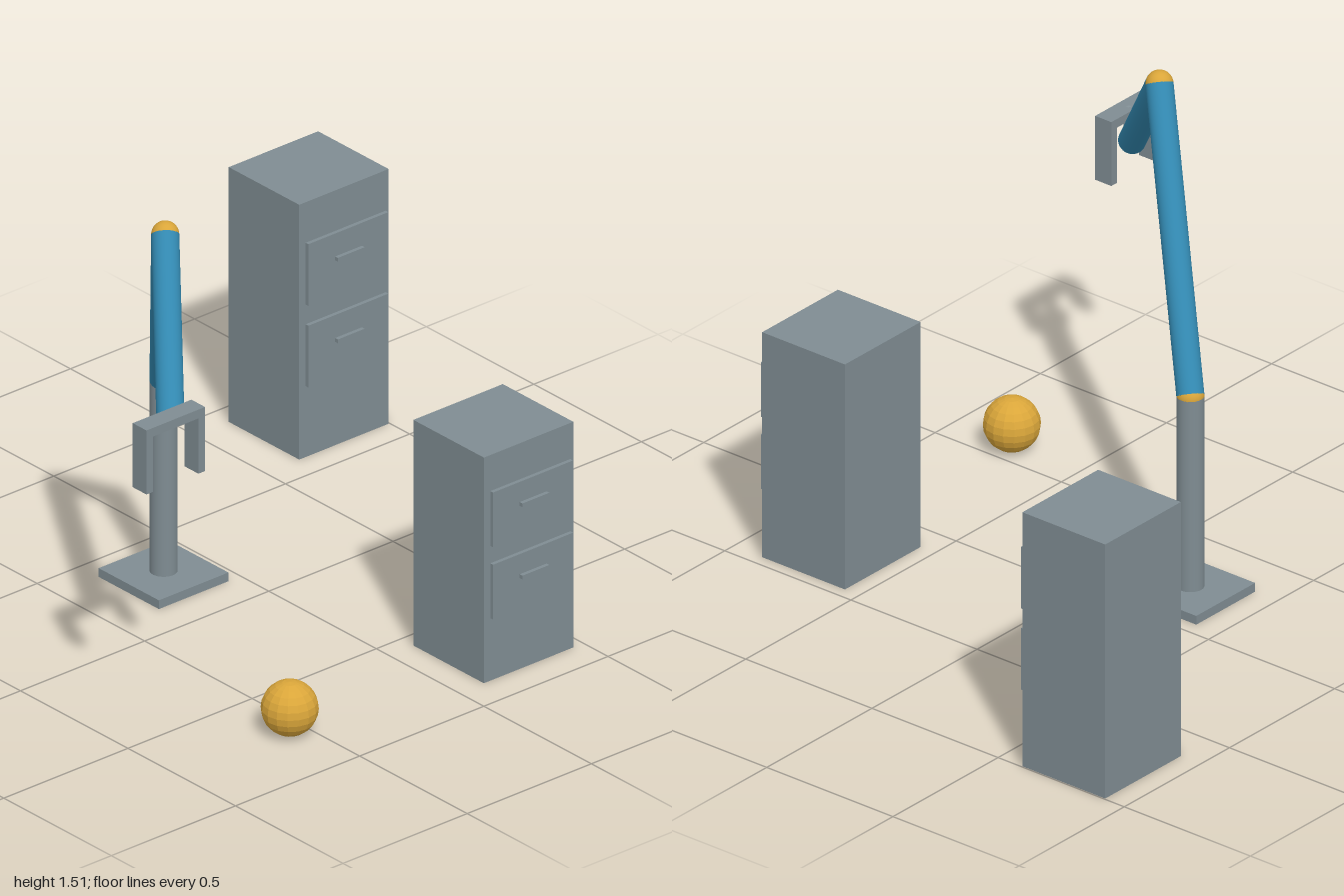
import * as THREE from 'three';

const steel = new THREE.MeshStandardMaterial({ name: 'steelGrey', color: 0x7f8c92 });
const blue = new THREE.MeshStandardMaterial({ name: 'armBlue', color: 0x3288b0 });
const gold = new THREE.MeshStandardMaterial({ name: 'gold', color: 0xdaa63a });
const ballGold = gold;

function add(parent, name, geometry, material, x = 0, y = 0, z = 0) {
  const mesh = new THREE.Mesh(geometry, material);
  mesh.name = name;
  mesh.position.set(x, y, z);
  parent.add(mesh);
  return mesh;
}

const box = (w, h, d) => new THREE.BoxGeometry(w, h, d);

// Cylinder running between two points
function rod(parent, name, a, b, radius, material) {
  const dir = b.clone().sub(a);
  const mesh = add(parent, name, new THREE.CylinderGeometry(radius, radius, dir.length(), 32), material);
  mesh.position.copy(a).add(b).multiplyScalar(0.5);
  mesh.quaternion.setFromUnitVectors(new THREE.Vector3(0, 1, 0), dir.normalize());
}

// Two-drawer cabinet; drawer fronts and handles stand just proud of the +z face
function cabinet(name, x, z, height) {
  const g = new THREE.Group();
  g.name = name;
  g.position.set(x, 0, z);
  const depth = 0.328;
  add(g, 'cabinetBody', box(0.36, height, depth), steel, 0, height / 2, 0);
  for (const f of [0.406, 0.726]) {
    const y = height * f;
    add(g, 'drawerFront', box(0.322, height * 0.243, 0.013), steel, 0, y, depth / 2 + 0.0145);
    add(g, 'drawerHandle', box(0.108, 0.013, 0.013), steel, 0, y + height * 0.024, depth / 2 + 0.0275);
  }
  return g;
}

function robotArm() {
  const g = new THREE.Group();
  g.name = 'robotArm';
  const foot = new THREE.Vector3(-0.19, 0.02, -0.27);
  const shoulder = new THREE.Vector3(-0.19, 0.685, -0.27);
  const elbow = new THREE.Vector3(-0.547, 1.472, 0.15);
  const wrist = new THREE.Vector3(-0.81, 1.057, 0.478);
  const grip = new THREE.Vector3(-0.881, 1.11, 0.553);
  const r = 0.043;

  // Base and post
  add(g, 'basePlate', box(0.28, 0.03, 0.28), steel, foot.x, 0.015, foot.z);
  rod(g, 'post', foot, shoulder, r, steel);

  // Arm segments with ball joints
  rod(g, 'upperArm', shoulder, elbow, r, blue);
  rod(g, 'forearm', elbow, wrist, r, blue);
  for (const [name, p] of [['shoulderJoint', shoulder], ['elbowJoint', elbow]]) {
    add(g, name, new THREE.SphereGeometry(r, 24, 16), gold, p.x, p.y, p.z);
  }
  rod(g, 'wristRod', wrist, grip, 0.02, steel);

  // Gripper bar and two fingers
  add(g, 'gripperBar', box(0.236, 0.03, 0.064), steel, grip.x, grip.y, grip.z);
  for (const s of [-1, 1]) {
    add(g, 'gripperFinger', box(0.027, 0.19, 0.064), steel, grip.x + s * 0.1045, 1.0, grip.z);
  }
  return g;
}

export function createModel() {
  const model = new THREE.Group();
  model.name = 'robotWorkspace';
  model.add(robotArm());
  model.add(cabinet('shortCabinet', 0.279, 0.722, 0.775));
  model.add(cabinet('tallCabinet', 0.816, -0.757, 0.875));

  // Faceted ball on the floor
  const ball = new THREE.SphereGeometry(0.089, 16, 12).toNonIndexed();
  ball.computeVertexNormals();
  add(model, 'ball', ball, ballGold, -0.565, 0.09, 0.75);
  return model;
}
